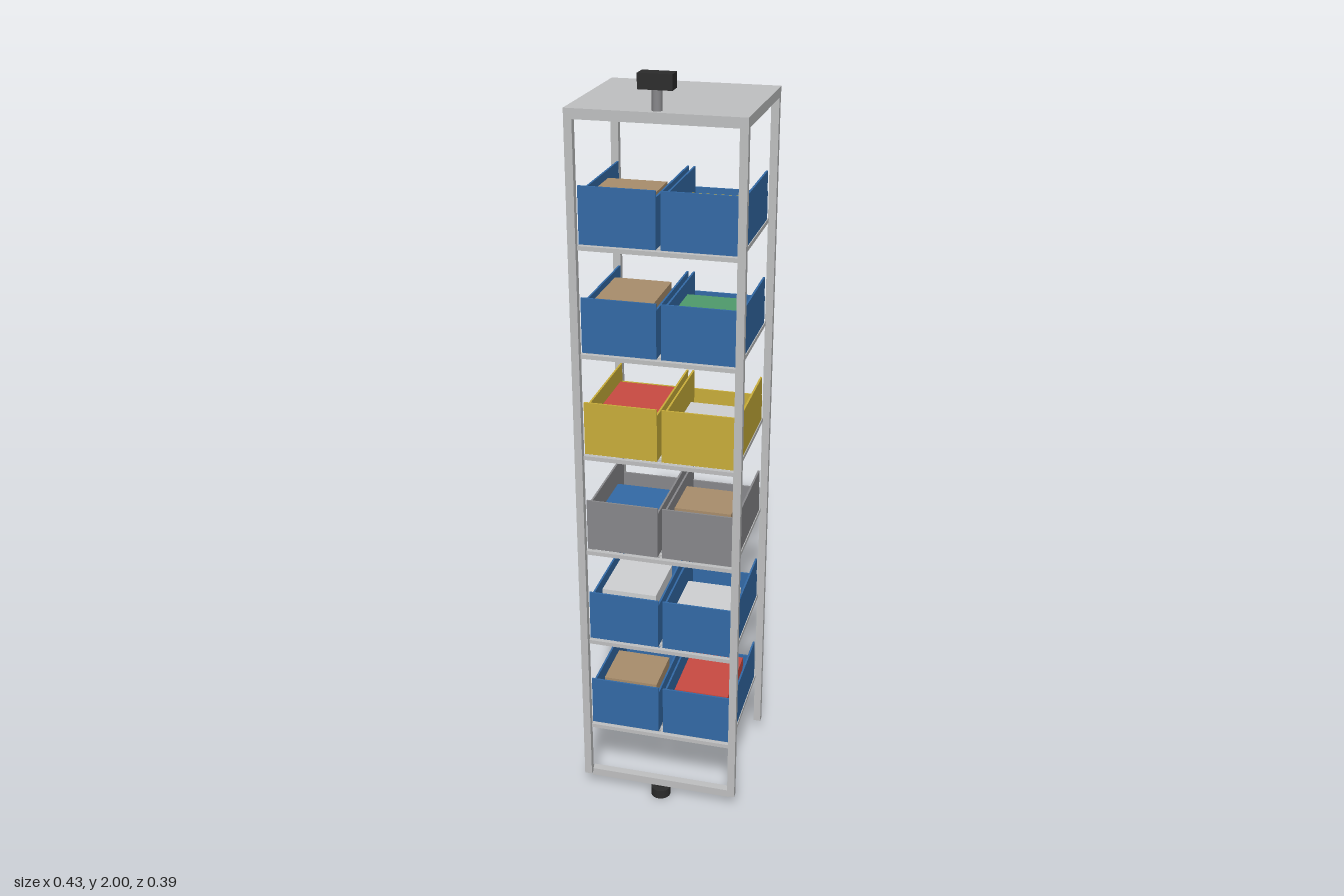
import * as THREE from 'three';

const mat = (name, color) => {
  const m = new THREE.MeshStandardMaterial({ color });
  m.name = name;
  return m;
};

const M = {
  frame: mat('frame light grey', 0xbfc0c1),
  black: mat('rubber black', 0x2b2b2b),
  blue: mat('blue', 0x336aa6),
  yellow: mat('yellow', 0xc9ae3a),
  grey: mat('grey', 0x88888b),
  tan: mat('cardboard tan', 0xa98e6c),
  red: mat('red', 0xc94b42),
  green: mat('green', 0x4f9a6c),
  white: mat('white', 0xcfd1d3),
};

// Box given by its minimum and maximum along each axis
function block(parent, name, material, [x0, x1], [y0, y1], [z0, z1]) {
  const mesh = new THREE.Mesh(new THREE.BoxGeometry(x1 - x0, y1 - y0, z1 - z0), material);
  mesh.position.set((x0 + x1) / 2, (y0 + y1) / 2, (z0 + z1) / 2);
  mesh.name = name;
  parent.add(mesh);
  return mesh;
}

function cylinder(parent, name, material, r, y0, y1, z) {
  const mesh = new THREE.Mesh(new THREE.CylinderGeometry(r, r, y1 - y0, 24), material);
  mesh.position.set(0, (y0 + y1) / 2, z);
  mesh.name = name;
  parent.add(mesh);
}

// Open wire deck: rim plus slats both ways
function makeShelf() {
  const g = new THREE.Group();
  g.name = 'shelf';
  const X = 0.198, Z = 0.175, w = 0.012;
  for (const s of [-1, 1]) {
    const zc = s * (Z - w / 2), xc = s * (X - w / 2);
    block(g, 'shelfRail', M.frame, [-X, X], [0, 0.011], [zc - w / 2, zc + w / 2]);
    block(g, 'shelfSideRail', M.frame, [xc - w / 2, xc + w / 2], [0, 0.011], [-Z + w, Z - w]);
  }
  for (let i = 1; i <= 9; i++) {
    const z = -Z + (i * 2 * Z) / 10;
    block(g, 'slat', M.frame, [-X + w, X - w], [0.003, 0.01], [z - 0.006, z + 0.006]);
  }
  for (let i = 1; i <= 5; i++) {
    const x = -X + (i * 2 * X) / 6;
    block(g, 'crossWire', M.frame, [x - 0.003, x + 0.003], [0.001, 0.006], [-Z + w, Z - w]);
  }
  return g;
}

// Open bin with a high front wall, a low picking wall and a label
function makeBin(material, content, height, nearZ) {
  const g = new THREE.Group();
  g.name = 'bin';
  const X = 0.095, Z = 0.163, t = 0.005;
  block(g, 'binFloor', material, [-X, X], [0, t], [-Z, Z]);
  block(g, 'binHighWall', material, [-X, X], [0, 0.142], [Z - t, Z]);
  block(g, 'binLowWall', material, [-X, X], [0, 0.072], [-Z, -Z + t]);
  for (const s of [-1, 1]) {
    const x = s * (X - t / 2);
    block(g, 'binSideWall', material, [x - t / 2, x + t / 2], [t, 0.125], [-Z + t, Z - t]);
  }
  block(g, 'labelHolder', material, [-0.045, 0.045], [0.02, 0.068], [-Z - 0.006, -Z]);
  block(g, 'label', M.white, [-0.04, 0.04], [0.025, 0.062], [-Z - 0.009, -Z - 0.006]);
  block(g, 'storedBox', content, [-0.075, 0.075], [t, t + height], [nearZ, 0.11]);
  return g;
}

export function createModel() {
  const model = new THREE.Group();
  model.name = 'shelvingTower';

  // Four corner posts
  for (const s of [-1, 1]) {
    const x = s * 0.206;
    for (const z of [0.179, -0.184]) {
      block(model, 'post', M.frame, [x - 0.01, x + 0.01], [0.045, 1.9], [z - 0.009, z + 0.009]);
    }
  }

  // Top panel with a rim below it
  block(model, 'topPanel', M.frame, [-0.216, 0.216], [1.903, 1.915], [-0.195, 0.188]);
  for (const [z0, z1] of [[0.17, 0.188], [-0.195, -0.177]]) {
    block(model, 'topRail', M.frame, [-0.216, 0.216], [1.89, 1.903], [z0, z1]);
  }
  for (const [x0, x1] of [[-0.216, -0.196], [0.196, 0.216]]) {
    block(model, 'topSideRail', M.frame, [x0, x1], [1.89, 1.903], [-0.177, 0.17]);
  }

  // Upper guide and lower foot
  cylinder(model, 'guideStem', M.grey, 0.012, 1.915, 1.965, 0.165);
  block(model, 'guideBlock', M.black, [-0.041, 0.041], [1.964, 2], [0.143, 0.185]);
  block(model, 'bottomBar', M.frame, [-0.197, 0.197], [0.032, 0.054], [0.154, 0.175]);
  cylinder(model, 'footRoller', M.black, 0.027, 0, 0.026, 0.165);
  cylinder(model, 'footStem', M.black, 0.01, 0.026, 0.034, 0.165);

  // Levels from the bottom up: bin colour, then [content, height, rear z] for -x and +x
  const levels = [
    [M.blue, [M.tan, 0.11, -0.03], [M.red, 0.105, -0.09]],
    [M.blue, [M.white, 0.12, -0.06], [M.white, 0.09, -0.04]],
    [M.grey, [M.blue, 0.085, -0.05], [M.tan, 0.118, -0.02]],
    [M.yellow, [M.red, 0.095, -0.09], [M.white, 0.07, -0.06]],
    [M.blue, [M.tan, 0.12, -0.06], [M.green, 0.105, -0.02]],
    [M.blue, [M.tan, 0.112, -0.02], [M.yellow, 0.085, -0.035]],
  ];
  levels.forEach(([color, right, left], i) => {
    const level = new THREE.Group();
    level.name = 'level';
    level.position.y = 0.197 + i * 0.276;
    level.add(makeShelf());
    [right, left].forEach((c, k) => {
      const bin = makeBin(color, ...c);
      bin.position.set(k ? 0.101 : -0.101, 0.0115, 0);
      level.add(bin);
    });
    model.add(level);
  });

  return model;
}
